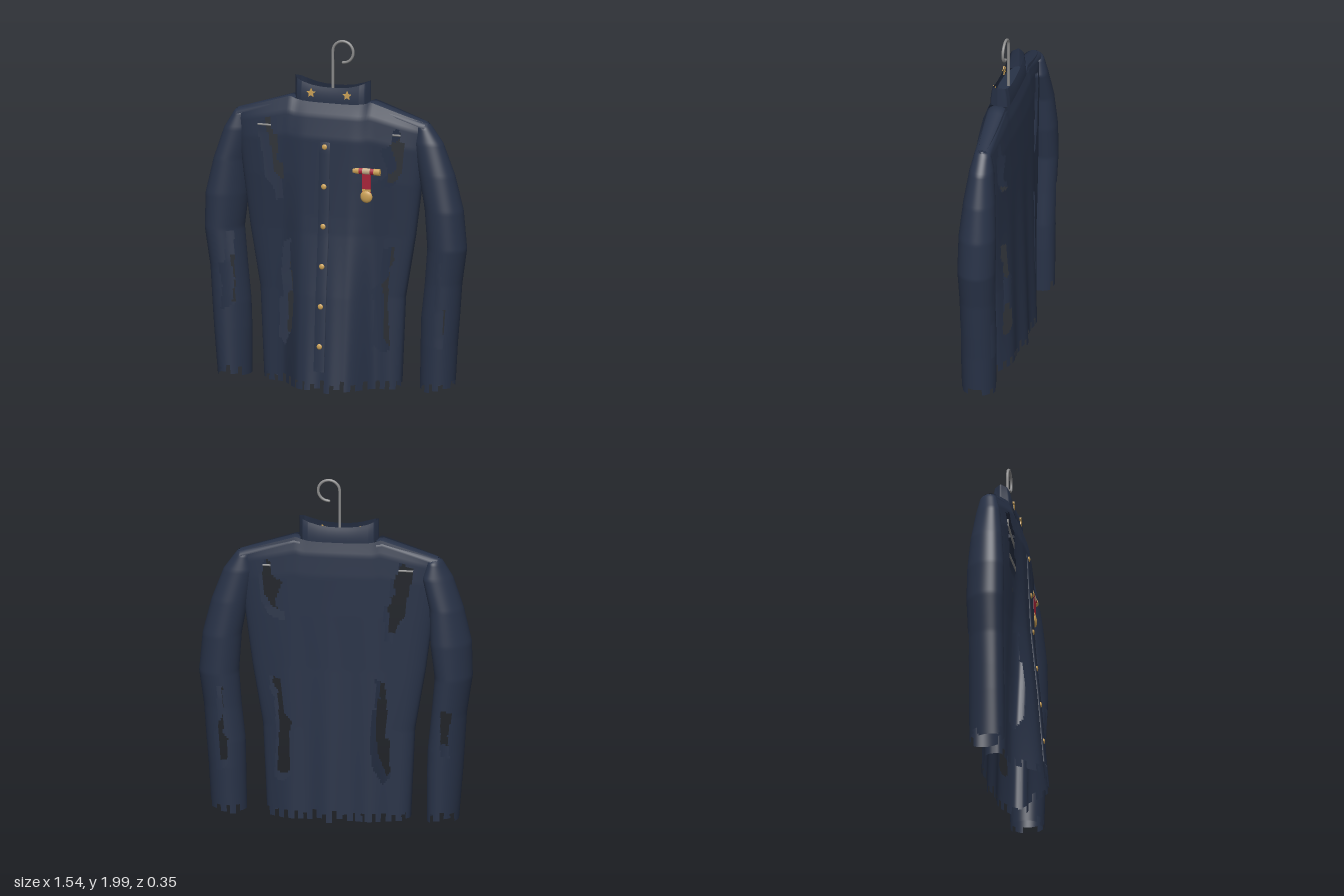
import * as THREE from 'three';
import { mergeVertices } from 'three/addons/utils/BufferGeometryUtils.js';

const CX = -0.0225; // centre line of the coat
const MID = -0.05; // depth of the hanger plane

// Linear lookup in rows of [y, a, b, ...] sorted by y
function lookup(rows, y) {
  let i = 0;
  while (i < rows.length - 2 && y > rows[i + 1][0]) i++;
  const a = rows[i], b = rows[i + 1];
  const t = THREE.MathUtils.clamp((y - a[0]) / (b[0] - a[0]), 0, 1);
  return a.slice(1).map((p, k) => p + (b[k + 1] - p) * t);
}

// Grid surface from a rule; cells failing keep() are left out as tears
function sheet(nu, nv, fn, keep = () => true) {
  const pos = [], idx = [];
  for (let j = 0; j <= nv; j++) for (let i = 0; i <= nu; i++) pos.push(...fn(i / nu, j / nv));
  for (let j = 0; j < nv; j++) for (let i = 0; i < nu; i++) {
    if (!keep(...fn((i + 0.5) / nu, (j + 0.5) / nv))) continue;
    const a = j * (nu + 1) + i, b = a + 1, c = a + nu + 1, d = c + 1;
    idx.push(a, b, d, a, d, c);
  }
  let g = new THREE.BufferGeometry();
  g.setAttribute('position', new THREE.Float32BufferAttribute(pos, 3));
  g.setIndex(idx);
  g = mergeVertices(g, 1e-5);
  g.computeVertexNormals();
  return g;
}

function inside(poly, x, y) {
  let hit = false;
  for (let i = 0, j = poly.length - 1; i < poly.length; j = i++) {
    const [xi, yi] = poly[i], [xj, yj] = poly[j];
    if ((yi > y) !== (yj > y) && x < ((xj - xi) * (y - yi)) / (yj - yi) + xi) hit = !hit;
  }
  return hit;
}

// Ragged hem height along a running coordinate
function hem(s) {
  const k = Math.floor(s / 0.055), f = s / 0.055 - k;
  const r = Math.abs(Math.sin(k * 12.9898) * 43758.5453) % 1;
  return f > 0.62 ? 0.055 + 0.025 * r : 0.015 + 0.02 * r;
}

const bodyTears = [
  [[-.45, 1.51], [-.37, 1.54], [-.355, 1.46], [-.32, 1.44], [-.325, 1.3], [-.285, 1.285], [-.293, 1.085], [-.33, 1.07], [-.35, 1.15], [-.4, 1.2], [-.425, 1.39], [-.445, 1.44]],
  [[.355, 1.52], [.4, 1.53], [.4, 1.46], [.43, 1.45], [.41, 1.28], [.37, 1.21], [.28, 1.17], [.28, 1.23], [.32, 1.25], [.33, 1.29], [.29, 1.4], [.35, 1.44]],
  [[-.29, .83], [-.24, .86], [-.24, .68], [-.215, .67], [-.215, .36], [-.28, .235], [-.32, .28], [-.32, .5], [-.295, .515], [-.305, .7]],
  [[.3, .83], [.365, .85], [.36, .76], [.335, .72], [.325, .51], [.335, .25], [.29, .23], [.245, .27], [.25, .5], [.235, .59], [.28, .64]],
];

// y: half width, front bulge depth, front side depth, back depth
const body = [
  [0, .405, .205, .085, .115], [.55, .43, .17, .085, .1], [.9, .49, .14, .088, .09], [1.2, .53, .125, .105, .085],
  [1.4, .555, .115, .105, .08], [1.5, .57, .09, .085, .07], [1.56, .575, .05, .05, .05],
];

const topLine = (x) => {
  const d = Math.abs(x - CX);
  return d < 0.2 ? 1.65 : lookup([[.2, 1.65], [.24, 1.665], [.575, 1.56]], d)[0];
};

function frontZ(x, y) {
  const [w, bulge, side] = lookup(body, Math.min(y, 1.56));
  const s = Math.min(1, Math.abs(x - CX) / w);
  const flat = 1 - THREE.MathUtils.smoothstep(Math.abs(x - CX), 0.13, 0.28);
  const fold = 0.006 * Math.sin(x * 42) * Math.max(0, 1 - y);
  return MID + Math.pow(1 - s * s, 0.35) * (side + (bulge - side + 0.02 * Math.max(0, 1 - y)) * flat + fold);
}

function backZ(x, y) {
  const [w, , , back] = lookup(body, Math.min(y, 1.56));
  const s = Math.min(1, Math.abs(x - CX) / w);
  return MID - Math.pow(1 - s * s, 0.35) * (back + 0.008 * Math.sin(x * 27 + 1) * Math.max(0, 1.2 - y));
}

// Front or back of the coat body
function panel(dir) {
  const zAt = dir > 0 ? frontZ : backZ;
  return sheet(110, 130, (u, v) => {
    const y0 = 0.01 + 1.55 * v;
    const x = CX + dir * lookup(body, y0)[0] * Math.sin((u - 0.5) * Math.PI);
    return [x, y0 + (topLine(x) - 1.56) * v ** 6, zAt(x, y0)];
  }, (x, y) => y > hem(x) && !bodyTears.some((t) => inside(t, x, y)));
}

// Sleeve rings: y, inner x, outer x, half depth; twist slants the section
const sleeves = {
  left: {
    z: -0.05, twist: 0, tear: [[.625, .79], [.66, .79], [.65, .54], [.675, .51], [.665, .29], [.64, .28], [.595, .32], [.595, .48], [.62, .51]],
    rings: [[.03, .5, .7, .095], [.3, .505, .715, .1], [.45, .508, .728, .1], [.65, .53, .742, .1], [.85, .545, .77, .107], [1.07, .53, .75, .105],
      [1.27, .495, .7, .09], [1.45, .46, .632, .068], [1.55, .48, .56, .045], [1.565, .53, .545, .004]],
  },
  right: {
    z: -0.06, twist: -0.3, tear: [[-.635, .86], [-.6, .86], [-.58, .45], [-.66, .41], [-.65, .55], [-.68, .69], [-.64, .68]],
    rings: [[.03, -.525, -.698, .1], [.3, -.525, -.72, .1], [.45, -.53, -.73, .1], [.65, -.55, -.742, .1], [.87, -.57, -.775, .105], [1.07, -.545, -.77, .105],
      [1.27, -.54, -.725, .09], [1.45, -.5, -.665, .068], [1.55, -.53, -.608, .045], [1.565, -.575, -.59, .004]],
  },
};

function sleeve({ z, twist, tear, rings }, side) {
  return sheet(72, 120, (u, v) => {
    const y = 0.03 + 1.535 * v, a = u * Math.PI * 2;
    const [xi, xo, rz] = lookup(rings, y);
    const dx = -((xo - xi) / 2) * Math.cos(a);
    return [(xi + xo) / 2 + dx, y, z + twist * dx - side * rz * Math.sin(a)];
  }, (x, y, zz) => y > hem(x) + 0.02 && !(inside(tear, x, y) && (side > 0 || zz > z || (x < -0.61 && y < 0.69))));
}

export function createModel() {
  const model = new THREE.Group();
  const mat = (name, color, side = THREE.FrontSide) => {
    const m = new THREE.MeshStandardMaterial({ color, side });
    m.name = name;
    return m;
  };
  const cloth = mat('navy cloth', 0x283247, THREE.DoubleSide);
  const gold = mat('brass', 0xcaa055);
  const red = mat('red ribbon', 0xa8233a);
  const tan = mat('pale ribbon stripe', 0xc4ac88);
  const steel = mat('steel wire', 0x8a8a8a);
  const add = (name, geo, material, x = 0, y = 0, z = 0, parent = model) => {
    const m = new THREE.Mesh(geo, material);
    m.name = name;
    m.position.set(x, y, z);
    parent.add(m);
    return m;
  };

  // Coat body and sleeves
  add('frontPanel', panel(1), cloth);
  add('backPanel', panel(-1), cloth);
  add('leftSleeve', sleeve(sleeves.left, 1), cloth);
  add('rightSleeve', sleeve(sleeves.right, -1), cloth);

  // Shoulder straps folded over the seams
  for (const s of [1, -1]) {
    add(s > 0 ? 'leftShoulderStrap' : 'rightShoulderStrap', sheet(10, 10, (u, v) => {
      const a = (u - 0.5) * Math.PI, x = CX + s * (0.215 + 0.345 * v);
      return [x, topLine(x) - 0.03 + 0.034 * Math.cos(a), MID - s * 0.056 * Math.sin(a) * (1 - 0.15 * v)];
    }), cloth);
  }

  // Stand collar: eight-sided band with raised ends, closed inside at the neck
  const ring = [[1, 0], [.9, .8], [.75, 1], [-.75, 1], [-.9, .8], [-1, 0], [-.9, -.8], [-.75, -1], [.75, -1], [.9, -.8], [1, 0]];
  add('collar', sheet(60, 6, (u, v) => {
    const k = Math.min(9, Math.floor(u * 10)), t = u * 10 - k;
    const px = ring[k][0] + (ring[k + 1][0] - ring[k][0]) * t, pz = ring[k][1] + (ring[k + 1][1] - ring[k][1]) * t;
    const low = 1.643 + 0.015 * px ** 4, high = 1.73 + 0.05 * Math.abs(px) ** 2.5;
    return [CX + 0.225 * px, low + (high - low) * v, MID + 0.058 * pz * (1 - 0.25 * v * v)];
  }), cloth);
  add('neckLining', new THREE.CircleGeometry(1, 16).rotateX(-Math.PI / 2).scale(0.22, 1, 0.056), cloth, CX, 1.665, MID);

  // Collar stars
  const star = new THREE.Shape();
  for (let i = 0; i < 10; i++) {
    const r = i % 2 ? 0.013 : 0.027, a = Math.PI / 2 + (i * Math.PI) / 5;
    star[i ? 'lineTo' : 'moveTo'](r * Math.cos(a), r * Math.sin(a));
  }
  const starGeo = new THREE.ExtrudeGeometry(star, { depth: 0.01, bevelEnabled: false });
  for (const x of [-0.135, 0.08]) add('collarStar', starGeo, gold, x, 1.693, 0);

  // Button placket with buttons
  const edge = [[-.032, 0], [-.031, .008], [0, .009], [.031, .008], [.032, 0]];
  add('placket', sheet(4, 60, (u, v) => {
    const [dx, dz] = edge[Math.round(u * 4 - 0.01)], y = 0.13 + 1.37 * v;
    return [-0.03 + dx, y, frontZ(-0.03 + dx, y) + dz];
  }), cloth);
  const buttonGeo = new THREE.SphereGeometry(0.016, 14, 10).scale(1, 1, 0.45);
  for (let i = 0; i < 6; i++) {
    const y = 1.405 - i * 0.2265;
    add('button', buttonGeo, gold, -0.03, y, frontZ(-0.03, y) + 0.01);
  }

  // Medal: striped bar, ribbon and rounded disc
  const medal = new THREE.Group();
  medal.name = 'medal';
  medal.position.set(0.215, 1.28, frontZ(0.215, 1.22) + 0.005);
  model.add(medal);
  const bar = (name, x, w, r, m) => add(name, new THREE.CylinderGeometry(r, r, w, 14).rotateZ(Math.PI / 2).scale(1, 1, 0.7), m, x, 0, 0, medal);
  bar('medalBar', 0, 0.1, 0.018, red);
  bar('medalBarStripe', 0, 0.045, 0.0188, tan);
  for (const s of [1, -1]) bar('medalBarEnd', s * 0.062, 0.036, 0.0195, gold);
  add('medalRibbon', new THREE.BoxGeometry(0.05, 0.11, 0.012), red, 0, -0.065, 0.002, medal);
  add('medalClasp', new THREE.BoxGeometry(0.05, 0.014, 0.016), gold, 0, -0.108, 0.002, medal);
  add('medalDisc', new THREE.SphereGeometry(0.036, 18, 12).scale(1, 1, 0.4), gold, 0, -0.144, 0.004, medal);

  // Wire hanger: hook, shoulders and cross bar
  const hook = [new THREE.Vector3(-0.025, 1.62, MID), new THREE.Vector3(-0.025, 1.75, MID), new THREE.Vector3(-0.025, 1.87, MID)];
  for (let i = 0; i <= 12; i++) {
    const a = Math.PI - (i / 12) * Math.PI * 1.5;
    hook.push(new THREE.Vector3(0.036 + 0.061 * Math.cos(a), 1.931 + 0.061 * Math.sin(a), MID));
  }
  add('hangerHook', new THREE.TubeGeometry(new THREE.CatmullRomCurve3(hook), 64, 0.008, 10), steel);
  add('hookTip', new THREE.SphereGeometry(0.008, 10, 8), steel, 0.036, 1.87, MID);
  const wire = (name, a, b) => add(name, new THREE.TubeGeometry(new THREE.LineCurve3(new THREE.Vector3(...a, MID), new THREE.Vector3(...b, MID)), 1, 0.006, 8), steel);
  wire('hangerBar', [-0.52, 1.475], [0.48, 1.475]);
  wire('hangerRightArm', [-0.025, 1.64], [-0.52, 1.55]);
  wire('hangerLeftArm', [-0.025, 1.64], [0.48, 1.55]);
  wire('hangerRightEnd', [-0.52, 1.55], [-0.52, 1.475]);
  wire('hangerLeftEnd', [0.48, 1.55], [0.48, 1.475]);

  return model;
}
